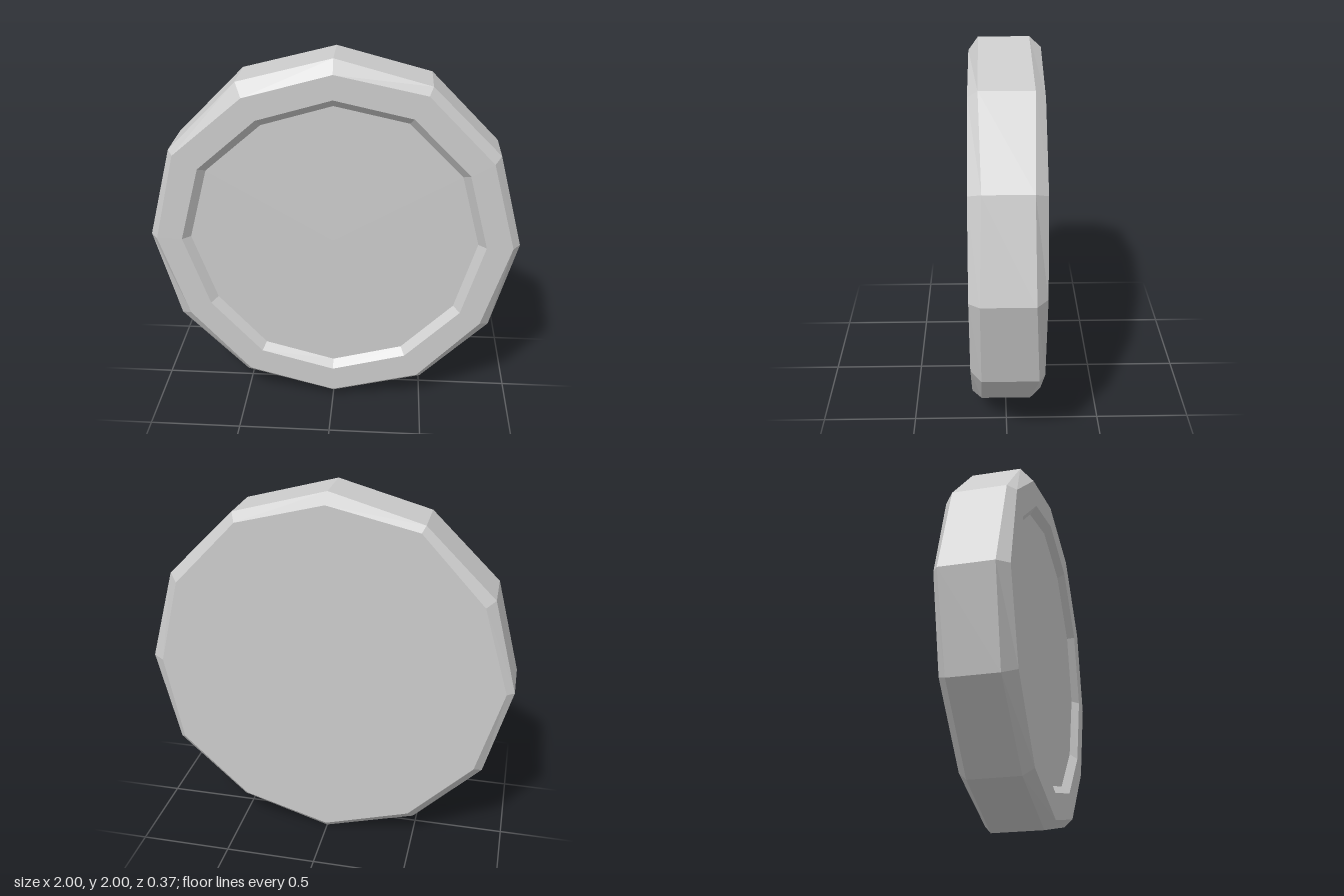
import * as THREE from 'three';

const SIDES = 12;
const HALF = 0.185; // half thickness

// Per-corner values, counter-clockwise from +x: the hand-cut bevels are uneven
const backRadius = [0.93, 0.94, 0.95, 0.945, 0.965, 0.945, 0.96, 0.95, 0.95, 0.965, 0.95, 0.965];
const backRimZ = [0.13, 0.122, 0.135, 0.125, 0.15, 0.14, 0.155, 0.14, 0.14, 0.155, 0.13, 0.155];
const frontRimZ = [0.132, 0.12, 0.135, 0.135, 0.12, 0.14, 0.125, 0.12, 0.13, 0.125, 0.135, 0.13];
const frontRadius = [0.96, 0.956, 0.959, 0.93, 0.925, 0.967, 0.957, 0.926, 0.952, 0.952, 0.958, 0.941];
const recessRadius = [0.82, 0.82, 0.82, 0.80, 0.79, 0.82, 0.82, 0.79, 0.81, 0.81, 0.81, 0.81];

// One ring of corners from a radius rule and a depth rule
function ring(radius, depth) {
  return Array.from({ length: SIDES }, (_, i) => {
    const a = (i / SIDES) * Math.PI * 2;
    return [Math.cos(a) * radius(i), Math.sin(a) * radius(i), depth(i)];
  });
}

// Skin consecutive rings, ordered from the back outwards and round to the front
function loft(name, rings, material) {
  const positions = rings.flat(2);
  const index = [];
  for (let r = 0; r < rings.length - 1; r++) {
    for (let i = 0; i < SIDES; i++) {
      const j = (i + 1) % SIDES;
      const a = r * SIDES + i, b = r * SIDES + j;
      const c = a + SIDES, d = b + SIDES;
      index.push(a, b, d, a, d, c);
    }
  }
  const geometry = new THREE.BufferGeometry();
  geometry.setAttribute('position', new THREE.Float32BufferAttribute(positions, 3));
  geometry.setIndex(index);
  const flat = geometry.toNonIndexed();
  flat.computeVertexNormals();
  const mesh = new THREE.Mesh(flat, material);
  mesh.name = name;
  return mesh;
}

export function createModel() {
  const group = new THREE.Group();
  group.name = 'disc';
  const material = new THREE.MeshStandardMaterial({ color: 0xcccccc, flatShading: true });

  const floorZ = HALF - 0.04;
  const recessEdge = ring(i => recessRadius[i], () => HALF);

  // Flat back, bevelled rim and raised front border
  const body = loft('body', [
    ring(() => 0, () => -HALF),
    ring(i => backRadius[i], () => -HALF),
    ring(() => 1, i => -backRimZ[i]),
    ring(() => 1, i => frontRimZ[i]),
    ring(i => frontRadius[i], () => HALF),
    recessEdge,
  ], material);

  // Sloping step down to the sunken front panel
  const panel = loft('recessedPanel', [
    recessEdge,
    ring(i => recessRadius[i] - 0.042, () => floorZ),
    ring(() => 0, () => floorZ),
  ], material);

  for (const part of [body, panel]) {
    part.position.y = 1;
    group.add(part);
  }
  return group;
}
